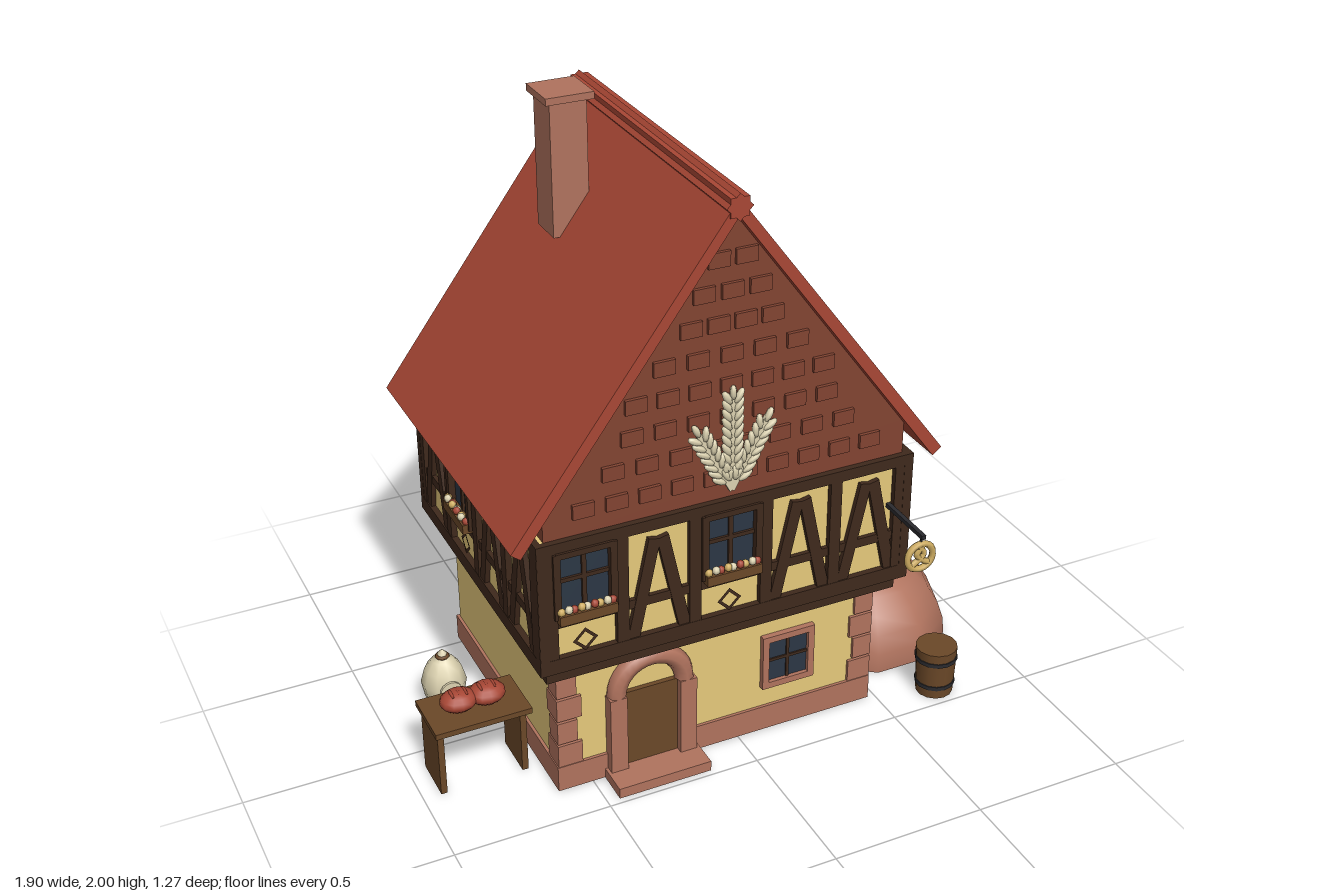
import * as THREE from 'three';

const mat = (name, color, side = THREE.FrontSide) => {
  const m = new THREE.MeshStandardMaterial({ color, side });
  m.name = name;
  return m;
};

export function createModel() {
  const roofRed = mat('roof red', 0xa84735), gableBrown = mat('gable brown', 0x824432);
  const stone = mat('stone', 0xb0735e, THREE.DoubleSide), plaster = mat('plaster', 0xe6c97b);
  const timber = mat('timber', 0x3f291c), wood = mat('wood', 0x6b4828);
  const glass = mat('glass', 0x2c3745), cream = mat('cream', 0xdcd2b0);
  const gold = mat('gold', 0xd0ae62), iron = mat('iron', 0x2b2b2f);

  const model = new THREE.Group();
  model.name = 'bakeryHouse';
  const CX = -0.07, CZ = -0.08; // centre of the house

  const add = (parent, name, geo, m, x = 0, y = 0, z = 0) => {
    const mesh = new THREE.Mesh(geo, m);
    mesh.name = name;
    mesh.position.set(x, y, z);
    parent.add(mesh);
    return mesh;
  };
  // Box given by its limits on each axis
  const box = (parent, name, m, x0, x1, y0, y1, z0, z1) =>
    add(parent, name, new THREE.BoxGeometry(x1 - x0, y1 - y0, z1 - z0), m,
      (x0 + x1) / 2, (y0 + y1) / 2, (z0 + z1) / 2);
  // Flat beam between two points of a facade
  const beam = (parent, name, m, ax, ay, bx, by, w, d) => {
    const b = add(parent, name, new THREE.BoxGeometry(w, Math.hypot(bx - ax, by - ay), d), m,
      (ax + bx) / 2, (ay + by) / 2, d / 2);
    b.rotation.z = -Math.atan2(bx - ax, by - ay);
  };
  const group = (name, parent = model) => {
    const g = new THREE.Group();
    g.name = name;
    parent.add(g);
    return g;
  };
  const extrude = (pts, depth) => new THREE.ExtrudeGeometry(
    new THREE.Shape(pts.map(p => new THREE.Vector2(...p))), { depth, bevelEnabled: false });

  // Ground floor
  const ground = group('groundFloor');
  box(ground, 'plinth', stone, -0.615, 0.475, 0.002, 0.09, -0.533, 0.37);
  box(ground, 'groundWall', plaster, -0.605, 0.465, 0, 0.46, -0.523, 0.36);
  for (let i = 0; i < 4; i++) {
    const w = i % 2 ? 0.065 : 0.08, y = 0.092 + i * 0.085;
    box(ground, 'quoin', stone, -0.612, -0.612 + w, y, y + 0.077, 0.37 - w, 0.37);
    box(ground, 'quoin', stone, 0.474 - w, 0.474, y, y + 0.077, 0.37 - w, 0.37);
  }

  // Arched doorway
  const door = group('doorway');
  const DX = -0.305;
  box(door, 'doorStep', stone, DX - 0.155, DX + 0.155, 0, 0.035, 0.3, 0.48);
  box(door, 'doorPanel', wood, DX - 0.095, DX + 0.095, 0.035, 0.305, 0.35, 0.376);
  for (const s of [-1, 1])
    box(door, 'doorPillar', stone, DX + s * 0.117 - 0.028, DX + s * 0.117 + 0.028, 0.03, 0.305, 0.34, 0.4);
  add(door, 'doorArch', new THREE.TorusGeometry(0.113, 0.032, 8, 16, Math.PI), stone, DX, 0.305, 0.37);

  // Ground floor window
  const win = group('groundWindow');
  box(win, 'pane', glass, 0.095, 0.245, 0.18, 0.345, 0.355, 0.367);
  for (const x of [0.09, 0.25]) box(win, 'windowFrame', stone, x - 0.011, x + 0.011, 0.165, 0.36, 0.355, 0.38);
  for (const y of [0.176, 0.349]) box(win, 'windowFrame', stone, 0.08, 0.26, y - 0.011, y + 0.011, 0.355, 0.38);
  box(win, 'mullion', timber, 0.165, 0.175, 0.18, 0.345, 0.36, 0.372);
  box(win, 'mullion', timber, 0.095, 0.245, 0.26, 0.27, 0.36, 0.372);

  // Jetty with joist ends
  const upper = group('upperFloor');
  box(upper, 'jetty', timber, CX - 0.588, CX + 0.588, 0.45, 0.51, CZ - 0.496, CZ + 0.496);
  for (const z of [0.286, 0.04, -0.2, -0.445])
    for (const s of [-1, 1])
      box(upper, 'joistEnd', timber, CX + s * 0.56 - 0.016, CX + s * 0.56 + 0.016, 0.42, 0.45, z - 0.015, z + 0.015);
  box(upper, 'upperWall', plaster, CX - 0.595, CX + 0.595, 0.5, 0.945, CZ - 0.505, CZ + 0.505);

  // Window with flower box, x measured along the facade
  const bud = new THREE.SphereGeometry(0.013, 6, 5);
  const upperWindow = (f, x) => {
    const g = group('upperWindow', f);
    box(g, 'pane', glass, x - 0.085, x + 0.085, 0.7, 0.9, 0, 0.006);
    for (const s of [-1, 1]) box(g, 'windowFrame', timber, x + s * 0.088 - 0.011, x + s * 0.088 + 0.011, 0.69, 0.91, 0, 0.028);
    box(g, 'windowFrame', timber, x - 0.09, x + 0.09, 0.893, 0.912, 0, 0.028);
    box(g, 'mullion', timber, x - 0.007, x + 0.007, 0.69, 0.9, 0, 0.014);
    box(g, 'mullion', timber, x - 0.085, x + 0.085, 0.805, 0.818, 0, 0.014);
    box(g, 'flowerBox', wood, x - 0.09, x + 0.09, 0.678, 0.71, 0.01, 0.045);
    for (let i = 0; i < 9; i++)
      add(g, 'flower', bud, [gold, cream, roofRed][i % 3], x - 0.08 + i * 0.02, 0.717 + (i % 2) * 0.008, 0.03 + (i % 2) * 0.008);
    add(g, 'diamond', new THREE.RingGeometry(0.026, 0.04, 4), timber, x, 0.588, 0.008);
  };

  // Timber framed facade; bays are read from the left, W = window, A = braces
  const facade = (name, bays, half, x, z, turn) => {
    const f = group(name, upper);
    f.position.set(x, 0, z);
    f.rotation.y = turn;
    const n = bays.length, pitch = 2 * (half - 0.03) / n;
    box(f, 'sillBeam', timber, -half, half, 0.5, 0.55, -0.01, 0.02);
    box(f, 'midRail', timber, -half, half, 0.652, 0.682, -0.01, 0.014);
    box(f, 'topBeam', timber, -half, half, 0.908, 0.945, -0.01, 0.02);
    for (let i = 0; i <= n; i++) {
      const w = i % n ? 0.019 : 0.03, px = -half + 0.03 + i * pitch;
      box(f, 'post', timber, px - w, px + w, 0.5, 0.945, -0.01, 0.019);
    }
    [...bays].forEach((b, i) => {
      const c = -half + 0.03 + (i + 0.5) * pitch;
      if (b === 'W') return upperWindow(f, c);
      for (const s of [-1, 1]) beam(f, 'brace', timber, c + s * 0.013, 0.875, c + s * 0.086, 0.535, 0.038, 0.016);
    });
  };
  facade('frontFacade', 'WAWAA', 0.615, CX, CZ + 0.505, 0);
  facade('backFacade', 'AWAAA', 0.615, CX, CZ - 0.505, Math.PI);
  facade('leftFacade', 'AWAA', 0.525, CX + 0.595, CZ, Math.PI / 2);
  facade('rightFacade', 'AWAA', 0.525, CX - 0.595, CZ, -Math.PI / 2);

  // Roof, gable and ridge
  const roof = group('roof');
  add(roof, 'gable', extrude([[-0.585, 0.94], [0.585, 0.94], [0.585, 1.06], [0, 1.85], [-0.585, 1.06]], 1.0),
    gableBrown, CX, 0, -0.575);
  add(roof, 'roofSlopes', extrude([[0, 1.895], [-0.697, 0.958], [-0.668, 0.935], [0, 1.842],
    [0.668, 0.935], [0.697, 0.958]], 1.09), roofRed, CX, 0, -0.624);
  for (const r of [0, Math.PI / 4]) {
    const ridge = add(roof, 'ridgeTile', new THREE.BoxGeometry(0.058, 0.058, 1.1), roofRed, CX, 1.87, -0.08);
    ridge.rotation.z = r;
  }

  // Brick relief on the front gable: count and span of each row
  const rows = [[10, 0.925], [8, 0.74], [7, 0.62], [7, 0.593], [5, 0.418], [4, 0.254], [3, 0.175], [2, 0.085]];
  const brickGeo = new THREE.BoxGeometry(0.067, 0.046, 0.02);
  rows.forEach(([n, span], r) => {
    for (let i = 0; i < n; i++)
      add(roof, 'gableBrick', brickGeo, gableBrown, CX - span / 2 + span * i / (n - 1), 1.023 + r * 0.098, 0.426);
  });

  // Chimney
  box(roof, 'chimney', stone, -0.339, -0.222, 1.56, 1.98, -0.333, -0.21);
  box(roof, 'chimneyCap', stone, -0.355, -0.203, 1.978, 2, -0.347, -0.197);

  // Three ears of wheat
  const wheat = group('wheatEmblem');
  const grain = new THREE.SphereGeometry(1, 6, 5);
  [[0, 0.335, 0], [-0.122, 0.235, -0.48], [0.122, 0.235, 0.48]].forEach(([tx, ty, lean]) => {
    const ear = group('wheatEar', wheat);
    ear.position.set(CX, 0.975, 0.438);
    ear.rotation.z = -lean;
    const len = Math.hypot(tx, ty);
    box(ear, 'stem', cream, -0.008, 0.008, 0, len, -0.006, 0.006);
    const n = Math.round((len - 0.06) / 0.028);
    for (let i = 0; i < n; i++)
      for (const s of [-1, 1]) {
        const k = add(ear, 'grain', grain, cream, s * 0.019, 0.055 + i * 0.028, 0.004);
        k.scale.set(0.012, 0.026, 0.012);
        k.rotation.z = -s * 0.55;
      }
    add(ear, 'grain', grain, cream, 0, len - 0.014, 0.004).scale.set(0.011, 0.024, 0.012);
  });

  // Hanging pretzel sign
  const sign = group('pretzelSign');
  box(sign, 'signBar', iron, 0.468, 0.482, 0.763, 0.777, 0.42, 0.635);
  box(sign, 'signHook', iron, 0.472, 0.478, 0.735, 0.765, 0.617, 0.623);
  add(sign, 'pretzelRing', new THREE.TorusGeometry(0.044, 0.011, 6, 20), gold, 0.475, 0.696, 0.62);
  for (const s of [-1, 1]) {
    const arm = new THREE.CatmullRomCurve3([[s * 0.008, 0.04], [s * -0.012, 0.008], [s * 0.006, -0.012], [s * 0.032, -0.028]]
      .map(p => new THREE.Vector3(p[0], p[1], 0)));
    add(sign, 'pretzelArm', new THREE.TubeGeometry(arm, 12, 0.01, 6), gold, 0.475, 0.696, 0.62);
  }

  // Domed oven beside the house
  add(model, 'oven', new THREE.SphereGeometry(0.286, 10, 7, 0, Math.PI * 2, 0, Math.PI / 2), stone, 0.662, 0.002, 0);

  // Barrel
  const barrel = group('barrel');
  barrel.position.set(0.698, 0, 0.418);
  add(barrel, 'barrelBody', new THREE.CylinderGeometry(0.068, 0.061, 0.172, 14), wood, 0, 0.086, 0);
  for (const [y, r] of [[0.04, 0.066], [0.133, 0.07]])
    add(barrel, 'barrelHoop', new THREE.CylinderGeometry(r, r, 0.014, 14), iron, 0, y, 0);

  // Table with loaves
  const table = group('table');
  box(table, 'tableTop', wood, -0.953, -0.643, 0.224, 0.243, 0.056, 0.246);
  for (const x of [-0.933, -0.667]) box(table, 'tableLeg', wood, x - 0.01, x + 0.01, 0, 0.225, 0.075, 0.225);
  for (const x of [-0.845, -0.754]) {
    add(table, 'loaf', new THREE.SphereGeometry(1, 12, 8), roofRed, x, 0.275, 0.15).scale.set(0.06, 0.034, 0.05);
    for (const d of [-0.022, 0, 0.022])
      add(table, 'loafScore', new THREE.SphereGeometry(1, 6, 5), roofRed, x + d, 0.302, 0.15).scale.set(0.006, 0.008, 0.026);
  }

  // Tied flour sack
  const sack = group('flourSack');
  sack.position.set(-0.78, 0, -0.195);
  const sackProfile = [[0, 0], [0.035, 0.005], [0.064, 0.045], [0.074, 0.1], [0.06, 0.15], [0.035, 0.182],
    [0.013, 0.194], [0.016, 0.203], [0, 0.22]];
  add(sack, 'sackBody', new THREE.LatheGeometry(sackProfile.map(p => new THREE.Vector2(...p)), 10), cream);
  const tie = add(sack, 'sackTie', new THREE.TorusGeometry(0.018, 0.006, 6, 10), wood, 0, 0.194, 0);
  tie.rotation.x = Math.PI / 2;
  add(sack, 'sackPatch', new THREE.CylinderGeometry(0.036, 0.036, 0.008, 16), cream, 0, 0.098, 0.07).rotation.x = Math.PI / 2;

  return model;
}
